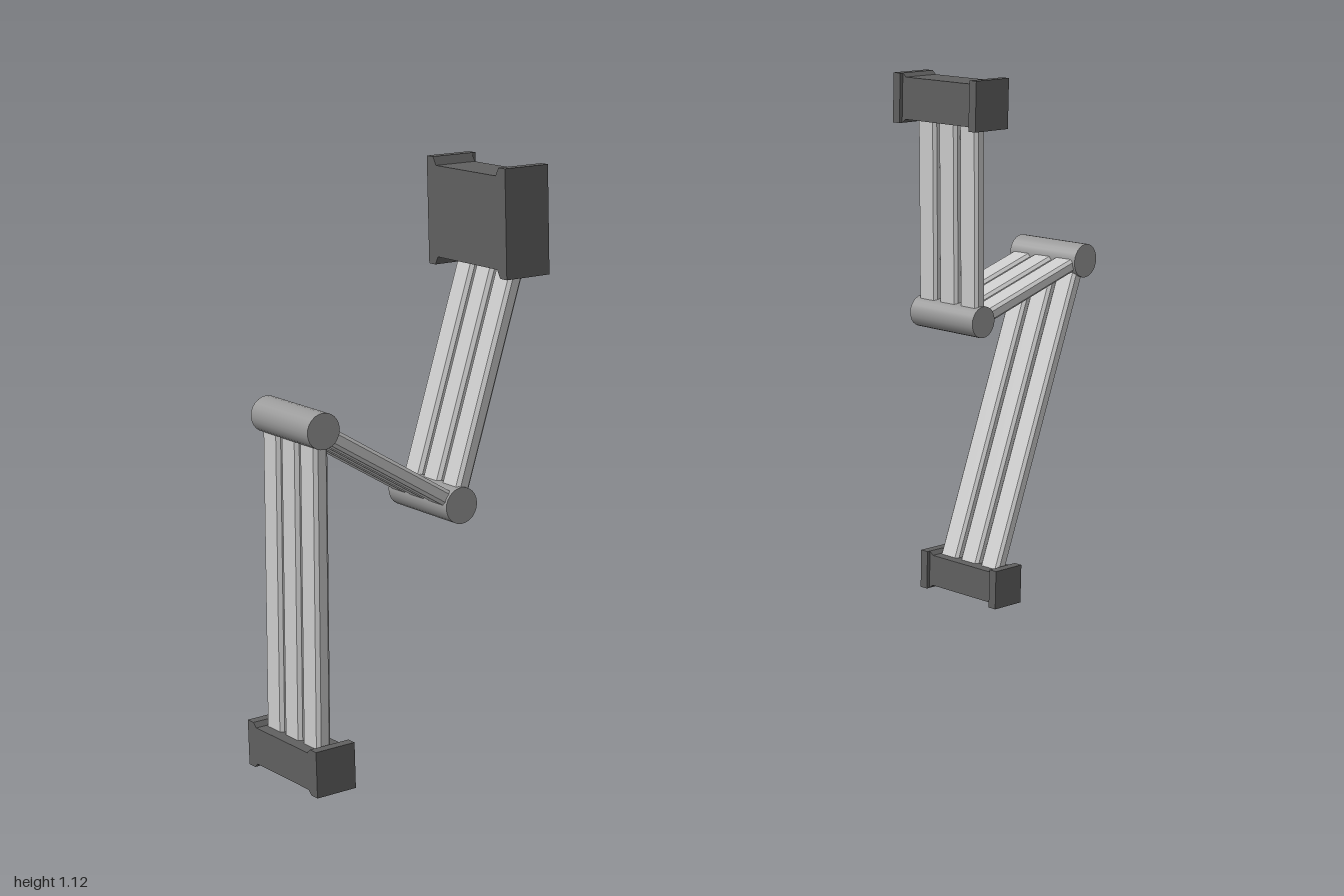
import * as THREE from 'three';

const material = (color) => new THREE.MeshStandardMaterial({ color });
const rodMat = material(0xcccccc);
const jointMat = material(0x999999);
const blockMat = material(0x606060);

// Mounting block: a spool-shaped outline with raised end flanges, extruded in z.
// The flanges also stand proud on one z side (lip = +1 or -1).
function block(name, x0, x1, y0, y1, z0, z1, e, lip) {
  const group = new THREE.Group();
  group.name = name;
  const f = 0.019, c = 0.028, lipDepth = 0.008;
  const shape = new THREE.Shape([
    [x0, y0], [x0 + f, y0], [x0 + c, y0 + e], [x1 - c, y0 + e], [x1 - f, y0], [x1, y0],
    [x1, y1], [x1 - f, y1], [x1 - c, y1 - e], [x0 + c, y1 - e], [x0 + f, y1], [x0, y1],
  ].map(([x, y]) => new THREE.Vector2(x, y)));
  const depth = z1 - z0 - lipDepth;
  const bodyGeo = new THREE.ExtrudeGeometry(shape, { depth, bevelEnabled: false });
  const body = new THREE.Mesh(bodyGeo, blockMat);
  body.name = 'blockBody';
  body.position.z = lip > 0 ? z0 : z0 + lipDepth;
  group.add(body);
  for (const x of [x0 + f / 2, x1 - f / 2]) {
    const flange = new THREE.Mesh(new THREE.BoxGeometry(f, y1 - y0, lipDepth), blockMat);
    flange.name = 'blockFlange';
    flange.position.set(x, (y0 + y1) / 2, lip > 0 ? z1 - lipDepth / 2 : z0 + lipDepth / 2);
    group.add(flange);
  }
  return group;
}

// Cross-section of a flat bar with chamfered corners
function barShape(w, t, c) {
  const a = w / 2, b = t / 2;
  return new THREE.Shape([
    [-a + c, -b], [a - c, -b], [a, -b + c], [a, b - c],
    [a - c, b], [-a + c, b], [-a, b - c], [-a, -b + c],
  ].map(([x, y]) => new THREE.Vector2(x, y)));
}

// Three parallel bars running from point a to point b
function segment(name, a, b) {
  const group = new THREE.Group();
  group.name = name;
  const dir = b.clone().sub(a);
  const length = dir.length();
  dir.normalize();
  const side = new THREE.Vector3(1, 0, 0).addScaledVector(dir, -dir.x).normalize();
  const up = dir.clone().cross(side);
  const geo = new THREE.ExtrudeGeometry(barShape(0.051, 0.028, 0.006), { depth: length, bevelEnabled: false });
  for (const i of [-1, 0, 1]) {
    const bar = new THREE.Mesh(geo, rodMat);
    bar.name = 'bar';
    bar.position.x = i * 0.059;
    group.add(bar);
  }
  group.quaternion.setFromRotationMatrix(new THREE.Matrix4().makeBasis(side, up, dir));
  group.position.copy(a);
  return group;
}

// Hinge roller lying across the leg
function joint(name, p, radius, length, yaw = 0) {
  const geo = new THREE.CylinderGeometry(radius, radius, length, 24).rotateZ(Math.PI / 2);
  const mesh = new THREE.Mesh(geo, jointMat);
  mesh.name = name;
  mesh.position.copy(p);
  mesh.rotation.y = yaw;
  return mesh;
}

// Leg: three bar segments through two hinges; points run from foot to hip
function leg(name, points, radii, yaw) {
  const group = new THREE.Group();
  group.name = name;
  const [foot, lower, upper, hip] = points.map((p) => new THREE.Vector3(...p));
  group.add(
    segment('lowerBars', foot, lower),
    segment('middleBars', lower, upper),
    segment('upperBars', upper, hip),
    joint('lowerJoint', lower, radii[0], 0.18, yaw),
    joint('upperJoint', upper, radii[1], 0.18),
  );
  return group;
}

export function createModel() {
  const model = new THREE.Group();
  model.name = 'legPair';

  const front = leg('frontLeg', [
    [-0.008, 0.05, 0.966], [-0.007, 0.635, 0.952], [-0.007, 0.458, 0.673], [-0.003, 0.89, 0.53],
  ], [0.032, 0.033], 0);
  front.add(
    block('frontHipBlock', -0.12, 0.115, 0.855, 1.05, 0.497, 0.59, 0.015, -1),
    block('frontFoot', -0.12, 0.102, 0, 0.083, 0.922, 1.0, 0.008, -1),
  );

  const back = leg('backLeg', [
    [-0.008, 0.05, -0.716], [-0.014, 0.712, -0.96], [-0.001, 0.621, -0.639], [-0.003, 1.05, -0.627],
  ], [0.036, 0.033], 0.035);
  back.add(
    block('backHipBlock', -0.12, 0.115, 1.02, 1.123, -0.671, -0.576, 0.008, 1),
    block('backFoot', -0.12, 0.102, 0, 0.083, -0.758, -0.68, 0.008, 1),
  );

  model.add(front, back);
  return model;
}
